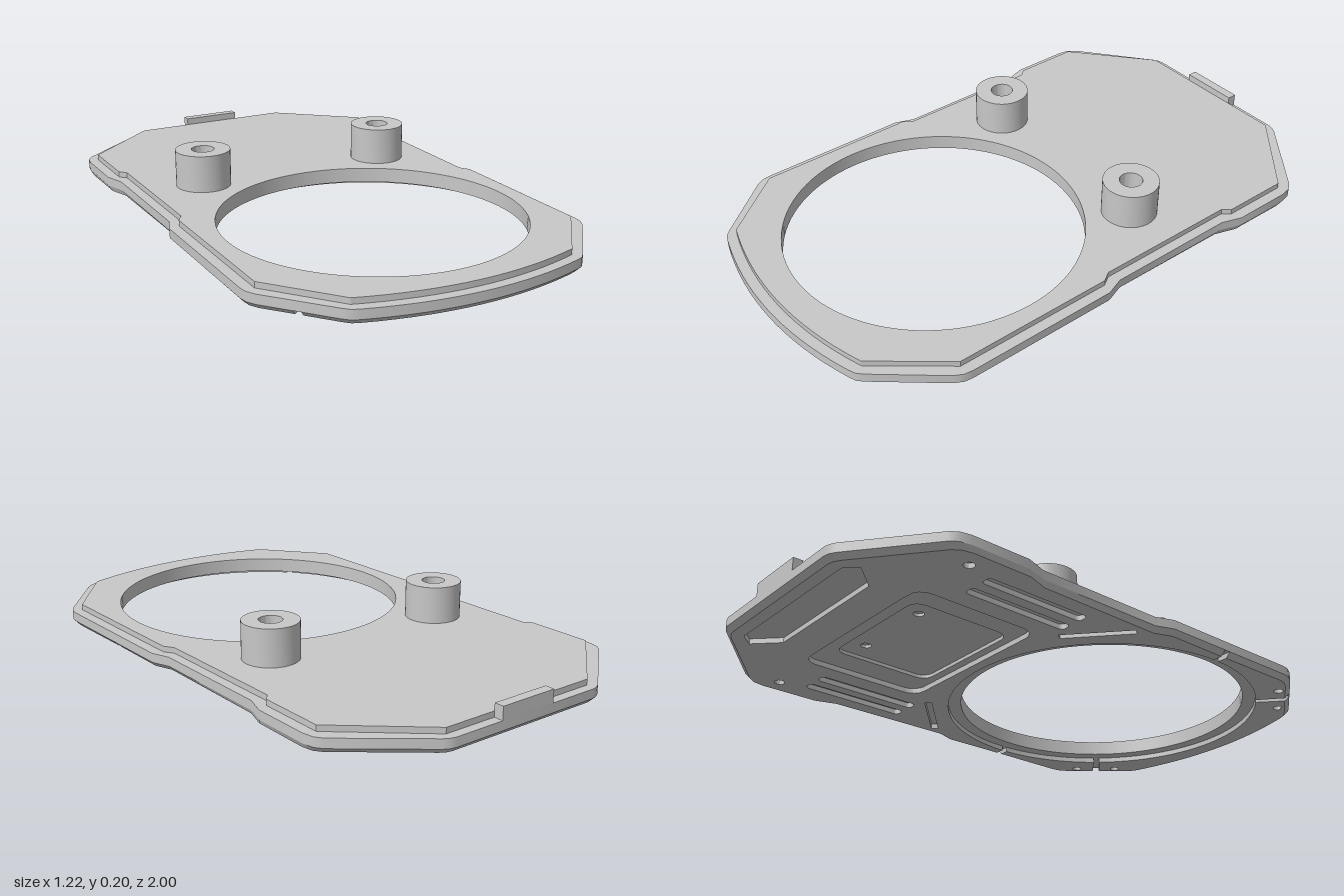
import * as THREE from 'three';
import { toCreasedNormals } from 'three/addons/utils/BufferGeometryUtils.js';

const HOLE_Z = 0.357, HOLE_R = 0.514, RING_R = 0.56;
const RIM_Y = 0.018, POCKET_Y = 0.03, FLANGE_Y = 0.05, TOP_Y = 0.07;

// Mirror a half profile [x, z] (back to front) into a closed loop
const mirrorLoop = half => [...half, ...half.slice().reverse().filter(p => p[0] > 0).map(([x, z]) => [-x, z])];

// Shallow front arc, from (x0, z1 - sag) to (0, z1)
const frontArc = (x0, z1, sag) => Array.from({ length: 9 }, (_, i) => {
  const t = 1 - i / 8;
  return [x0 * t, z1 - sag * t * t];
});

const outline = mirrorLoop([
  [0.29, -1], [0.31, -0.996], [0.33, -0.985], [0.585, -0.78], [0.604, -0.755], [0.612, -0.715],
  [0.612, -0.505], [0.588, -0.43], [0.588, 0.04], [0.612, 0.105], [0.612, 0.65],
  [0.608, 0.68], [0.592, 0.71], [0.425, 0.91], [0.405, 0.93], ...frontArc(0.38, 1, 0.06),
]);
const lipOutline = mirrorLoop([
  [0.3, -0.967], [0.575, -0.73], [0.575, -0.49], [0.553, -0.465], [0.553, 0.06],
  [0.575, 0.095], [0.575, 0.67], ...frontArc(0.39, 0.964, 0.064),
]);

const vec = ([x, z]) => new THREE.Vector2(x, -z);
const loopPath = pts => new THREE.Path(pts.map(vec));
const circle = (x, z, r) => new THREE.Path().absarc(x, -z, r, 0, Math.PI * 2, true);

// Rounded rectangle pocket
function roundRect(x0, z0, x1, z1, r) {
  const pts = [];
  [[x1 - r, z1 - r, 0], [x0 + r, z1 - r, 1], [x0 + r, z0 + r, 2], [x1 - r, z0 + r, 3]].forEach(([cx, cz, q]) => {
    for (let i = 0; i <= 4; i++) {
      const a = (q + i / 4) * Math.PI / 2;
      pts.push([cx + r * Math.cos(a), cz + r * Math.sin(a)]);
    }
  });
  return loopPath(pts);
}

// Layer between two heights, wound counter-clockwise so that hole walls face into the holes
function layer(pts, holes, y0, y1) {
  const loop = pts.map(vec);
  if (THREE.ShapeUtils.isClockWise(loop)) loop.reverse();
  const shape = new THREE.Shape(loop);
  shape.holes.push(...holes);
  return new THREE.ExtrudeGeometry(shape, { depth: y1 - y0, bevelEnabled: false, curveSegments: 48 })
    .rotateX(-Math.PI / 2).translate(0, y0, 0);
}

// Distance from the opening's centre to the outline along an angle
function outlineRadius(a) {
  const dx = Math.cos(a), dz = Math.sin(a);
  let best = 0;
  outline.forEach(([x0, z0], i) => {
    const [x1, z1] = outline[(i + 1) % outline.length];
    const ex = x1 - x0, ez = z1 - z0, det = ex * dz - ez * dx;
    if (Math.abs(det) < 1e-9) return;
    const px = x0, pz = z0 - HOLE_Z;
    const s = (pz * dx - px * dz) / det, t = (ex * pz - ez * px) / det;
    if (s >= -1e-6 && s <= 1 + 1e-6 && t > best) best = t;
  });
  return best;
}

// Sector of the underside rim, chamfered along its outer lower edge
function rimSector(deg0, deg1, holes) {
  const rad = d => d * Math.PI / 180;
  const at = (a, r) => [r * Math.cos(a), HOLE_Z + r * Math.sin(a)];
  const corners = outline
    .map(([x, z]) => ({ p: [x, z], a: (Math.atan2(z - HOLE_Z, x) + Math.PI * 2) % (Math.PI * 2) }))
    .filter(c => c.a > rad(deg0) + 1e-4 && c.a < rad(deg1) - 1e-4)
    .sort((m, n) => m.a - n.a).map(c => c.p);
  const pts = [at(rad(deg0), outlineRadius(rad(deg0))), ...corners, at(rad(deg1), outlineRadius(rad(deg1)))];
  const n = Math.ceil((deg1 - deg0) / 4);
  for (let i = 0; i <= n; i++) pts.push(at(rad(deg1 + (deg0 - deg1) * i / n), RING_R));

  const geo = layer(pts, holes, 0, RIM_Y), pos = geo.attributes.position;
  for (let i = 0; i < pos.count; i++) {
    if (pos.getY(i) > 1e-4) continue;
    const x = pos.getX(i), z = pos.getZ(i) - HOLE_Z, r = Math.hypot(x, z);
    if (r < outlineRadius(Math.atan2(z, x)) * 0.985) continue;
    const k = 1 - 0.018 / r;
    pos.setX(i, x * k);
    pos.setZ(i, HOLE_Z + z * k);
  }
  return geo;
}

export function createModel() {
  const model = new THREE.Group();
  model.name = 'mountingPlate';
  const grey = new THREE.MeshStandardMaterial({ color: 0xc8c8c8 });
  grey.name = 'grey';
  const add = (name, geo, x = 0, y = 0, z = 0) => {
    const mesh = new THREE.Mesh(toCreasedNormals(geo, 0.5), grey);
    mesh.name = name;
    mesh.position.set(x, y, z);
    model.add(mesh);
  };
  const opening = () => circle(0, HOLE_Z, HOLE_R);

  // Plate body, flange and raised lip around the round opening
  add('pocketLayer', layer(outline, [opening(), roundRect(-0.23, -0.64, 0.23, -0.27, 0.04)], RIM_Y, POCKET_Y));
  const screwHoles = [-0.15, 0.15].map(x => circle(x, -0.57, 0.018));
  add('flangeUnderside', layer(outline, [opening(), ...screwHoles], POCKET_Y, 0.04));
  add('flange', layer(outline, [opening()], 0.04, FLANGE_Y));
  add('raisedLip', layer(lipOutline, [opening()], FLANGE_Y, TOP_Y));

  // Rear underside with pockets, slots and screw holes
  const rearHoles = [
    roundRect(-0.33, -0.7, 0.33, -0.24, 0.05),
    loopPath([[-0.29, -0.94], [0.29, -0.94], [0.33, -0.9], [0.25, -0.82], [-0.25, -0.82], [-0.33, -0.9]]),
  ];
  for (const s of [1, -1]) {
    for (const x of [0.42, 0.5]) rearHoles.push(roundRect(s * x - 0.02, -0.58, s * x + 0.02, -0.19, 0.015));
    rearHoles.push(loopPath([[0.55, -0.01], [0.535, 0.01], [0.35, -0.155], [0.365, -0.175]].map(([x, z]) => [s * x, z])));
    rearHoles.push(circle(s * 0.54, -0.67, 0.018));
  }
  add('rearUnderside', rimSector(181.1, 358.9, rearHoles));

  // Front underside, divided by narrow drain grooves
  const screw = (s, x, z) => circle(s * x, z, 0.017);
  add('leftRim', rimSector(1.1, 40.4, [screw(1, 0.53, 0.72)]));
  add('rightRim', rimSector(139.6, 178.9, [screw(-1, 0.53, 0.72)]));
  add('frontRim', rimSector(42.6, 137.4, [screw(1, 0.43, 0.84), screw(-1, 0.43, 0.84)]));

  // Hollow posts
  const postProfile = [[0.097, 0], [0.097, 0.13], [0.04, 0.13], [0.04, 0]].map(p => new THREE.Vector2(...p));
  for (const [name, s] of [['leftPost', 1], ['rightPost', -1]]) {
    add(name, new THREE.LatheGeometry(postProfile, 40), s * 0.356, TOP_Y, -0.212);
  }

  // Locating tab on the back edge
  add('backTab', new THREE.BoxGeometry(0.216, 0.045, 0.034), 0, 0.0725, -0.983);
  return model;
}
